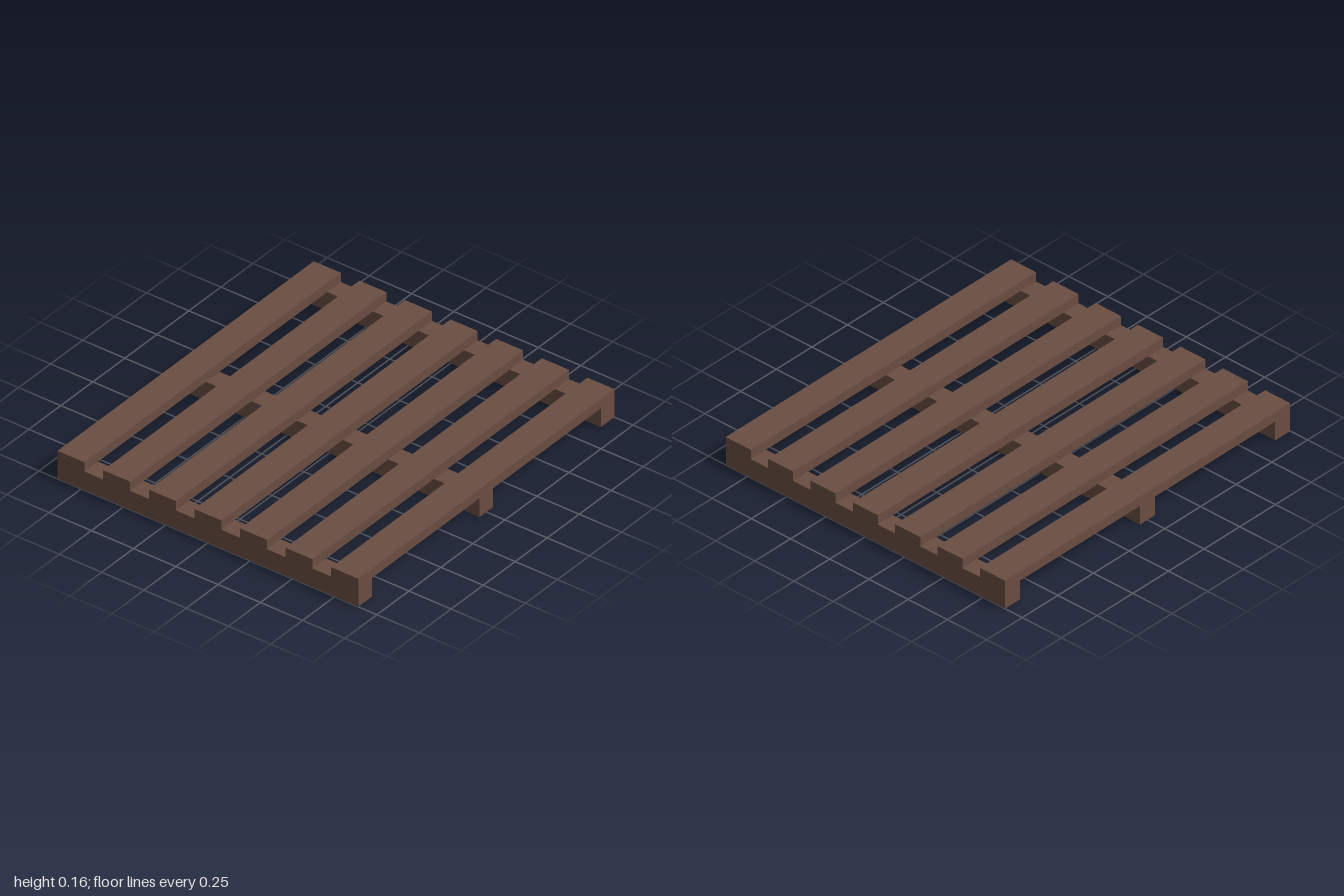
import * as THREE from 'three';

export function createModel() {
  const pallet = new THREE.Group();
  pallet.name = 'pallet';
  const wood = new THREE.MeshStandardMaterial({ color: 0x6b4e42 });
  wood.name = 'brown wood';

  const length = 2, depth = 1.78;
  const bearerWidth = 0.106, bearerHeight = 0.107;
  const slatDepth = 0.16, slatHeight = 0.053, slatCount = 7;

  function addBoard(name, size, position) {
    const board = new THREE.Mesh(new THREE.BoxGeometry(...size), wood);
    board.name = name;
    board.position.set(...position);
    pallet.add(board);
  }

  // Three bearers running front to back
  for (const side of [-1, 0, 1]) {
    const x = side * (length - bearerWidth) / 2;
    addBoard(`bearer${side + 2}`, [bearerWidth, bearerHeight, depth], [x, bearerHeight / 2, 0]);
  }

  // Evenly spaced deck slats across the top
  const pitch = (depth - slatDepth) / (slatCount - 1);
  for (let i = 0; i < slatCount; i++) {
    const z = (i - (slatCount - 1) / 2) * pitch;
    addBoard(`deckSlat${i + 1}`, [length, slatHeight, slatDepth], [0, bearerHeight + slatHeight / 2, z]);
  }

  return pallet;
}
